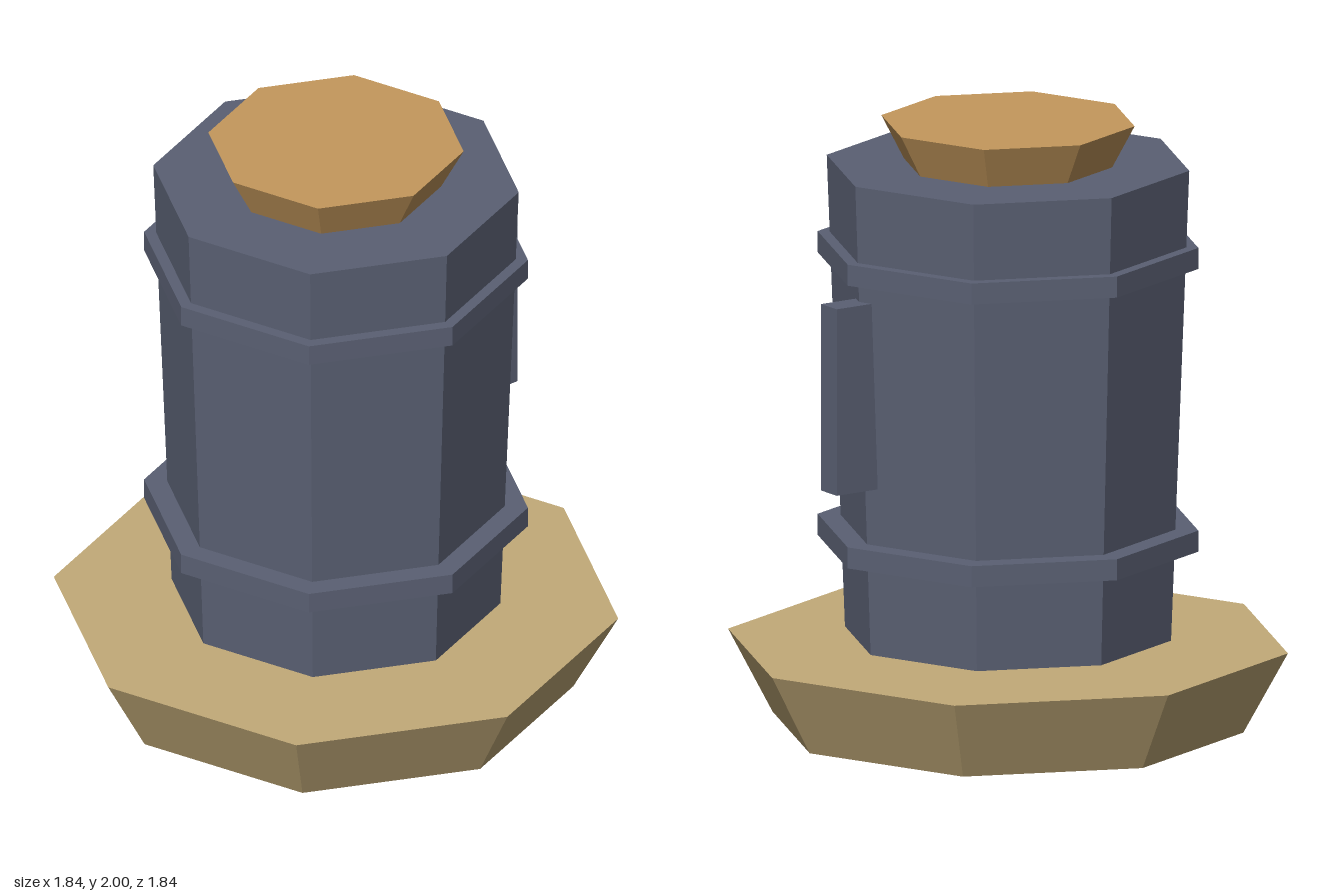
import * as THREE from 'three';

export function createModel() {
  const model = new THREE.Group();
  model.name = 'octagonalCanister';

  const material = (name, color) => {
    const m = new THREE.MeshStandardMaterial({ color, flatShading: true });
    m.name = name;
    return m;
  };
  const slate = material('slate blue', 0x5a6073);
  const sand = material('sand', 0xc2aa78);
  const amber = material('amber', 0xc4985c);

  const add = (name, geometry, mat, x, y) => {
    const mesh = new THREE.Mesh(geometry, mat);
    mesh.name = name;
    mesh.position.set(x, y, 0);
    model.add(mesh);
  };

  // Eight-sided tapered drum between two heights, corners on the axes
  const drum = (name, mat, y0, y1, r0, r1) =>
    add(name, new THREE.CylinderGeometry(r1, r0, y1 - y0, 8), mat, 0, (y0 + y1) / 2);

  drum('base', sand, 0, 0.27, 0.775, 0.922);
  drum('body', slate, 0.295, 1.86, 0.537, 0.597);
  drum('lowerBand', slate, 0.595, 0.665, 0.627, 0.627);
  drum('upperBand', slate, 1.535, 1.605, 0.627, 0.627);
  drum('cap', amber, 1.86, 2, 0.343, 0.417);

  // Upright fin on the left side, set into the body
  add('sideFin', new THREE.BoxGeometry(0.18, 0.62, 0.09), slate, 0.61, 1.165);

  return model;
}
